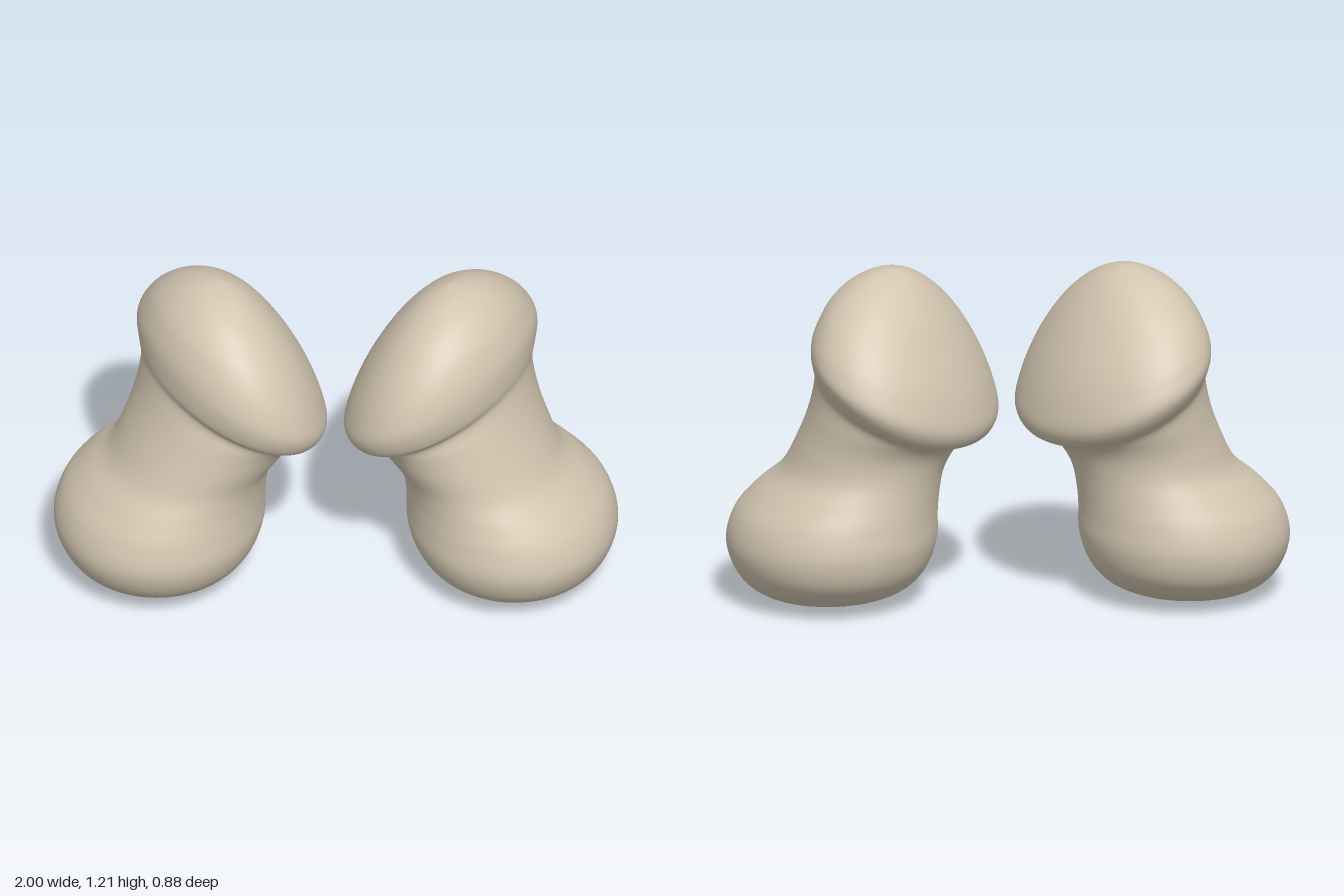
import * as THREE from 'three';

// Matching profiles, listed from the sole to the crown.
// inner and outer: [x, y]; front and back: [z, y]
const inner = [
  [0.64, 0], [0.52, 0.008], [0.42, 0.028], [0.335, 0.07], [0.28, 0.14], [0.252, 0.23], [0.25, 0.32],
  [0.243, 0.4], [0.225, 0.48], [0.19, 0.54], [0.15, 0.585], [0.1, 0.607], [0.06, 0.615], [0.035, 0.66],
  [0.05, 0.75], [0.09, 0.86], [0.14, 0.96], [0.2, 1.05], [0.28, 1.14], [0.34, 1.185], [0.4, 1.21],
];
const outer = [
  [0.64, 0], [0.78, 0.01], [0.87, 0.03], [0.935, 0.07], [0.98, 0.135], [1, 0.22], [0.97, 0.32],
  [0.9, 0.4], [0.81, 0.48], [0.755, 0.59], [0.71, 0.72], [0.69, 0.84], [0.698, 0.89], [0.705, 0.94],
  [0.7, 0.985], [0.675, 1.045], [0.64, 1.1], [0.58, 1.155], [0.51, 1.192], [0.46, 1.206], [0.4, 1.21],
];
const front = [
  [0.02, 0], [0.15, 0.01], [0.27, 0.035], [0.36, 0.08], [0.415, 0.145], [0.44, 0.23], [0.42, 0.33],
  [0.385, 0.41], [0.35, 0.49], [0.335, 0.59], [0.325, 0.69], [0.325, 0.735], [0.36, 0.765], [0.38, 0.84],
  [0.365, 0.92], [0.33, 1], [0.28, 1.07], [0.2, 1.14], [0.11, 1.185], [0.06, 1.2], [-0.01, 1.21],
];
const back = [
  [0.02, 0], [-0.12, 0.01], [-0.25, 0.035], [-0.33, 0.08], [-0.38, 0.14], [-0.4, 0.23], [-0.38, 0.33],
  [-0.345, 0.41], [-0.315, 0.49], [-0.31, 0.57], [-0.325, 0.63], [-0.345, 0.665], [-0.4, 0.685], [-0.44, 0.75],
  [-0.42, 0.84], [-0.38, 0.92], [-0.32, 1], [-0.245, 1.08], [-0.15, 1.155], [-0.08, 1.19], [-0.01, 1.21],
];

// Smooth rails through the four sides; the cap is twisted slightly about y
function makeRails() {
  const rails = [[], [], [], []];
  inner.forEach((a, i) => {
    const b = outer[i], f = front[i], k = back[i];
    const midX = (a[0] + b[0]) / 2, midZ = (f[0] + k[0]) / 2;
    const twist = THREE.MathUtils.smoothstep((f[1] + k[1]) / 2, 0.4, 0.8) * (b[0] - a[0]) / 0.67;
    rails[0].push(new THREE.Vector3(a[0], a[1], midZ + 0.06 * twist));
    rails[1].push(new THREE.Vector3(b[0], b[1], midZ - 0.06 * twist));
    rails[2].push(new THREE.Vector3(midX - 0.055 * twist, f[1], f[0]));
    rails[3].push(new THREE.Vector3(midX + 0.055 * twist, k[1], k[0]));
  });
  return rails.map((points) => new THREE.CatmullRomCurve3(points));
}

// Loft of tilted oval rings; side is 1 for the left piece, -1 for its mirror
function makeKnob(side) {
  const rails = makeRails(), rows = 120, cols = 72;
  const positions = [], index = [];
  for (let i = 0; i <= rows; i++) {
    const [a, b, f, k] = rails.map((rail) => rail.getPoint(i / rows));
    const centre = a.clone().add(b).multiplyScalar(0.5);
    const across = b.clone().sub(a).multiplyScalar(0.5);
    const depth = f.clone().sub(k).multiplyScalar(0.5);
    const bend = f.clone().add(k).multiplyScalar(0.5).sub(centre);
    for (let j = 0; j < cols; j++) {
      const t = (j / cols) * Math.PI * 2, s = Math.sin(t);
      const p = centre.clone().addScaledVector(across, Math.cos(t))
        .addScaledVector(depth, s).addScaledVector(bend, s * s);
      positions.push(p.x * side, Math.max(0, p.y), p.z);
      if (i === rows) continue;
      const n = (j + 1) % cols;
      const p0 = i * cols + j, p1 = i * cols + n, p2 = p0 + cols, p3 = p1 + cols;
      if (side > 0) index.push(p0, p2, p1, p1, p2, p3);
      else index.push(p0, p1, p2, p1, p3, p2);
    }
  }
  const geometry = new THREE.BufferGeometry();
  geometry.setAttribute('position', new THREE.Float32BufferAttribute(positions, 3));
  geometry.setIndex(index);
  geometry.computeVertexNormals();
  return geometry;
}

export function createModel() {
  const group = new THREE.Group();
  group.name = 'cappedPair';
  const stone = new THREE.MeshStandardMaterial({ color: 0xd2c5b0 });
  stone.name = 'warm beige';

  // Mirrored pair, each with a round foot, a neck and a tilted cap
  for (const side of [1, -1]) {
    const knob = new THREE.Mesh(makeKnob(side), stone);
    knob.name = side > 0 ? 'leftCappedKnob' : 'rightCappedKnob';
    group.add(knob);
  }
  return group;
}
